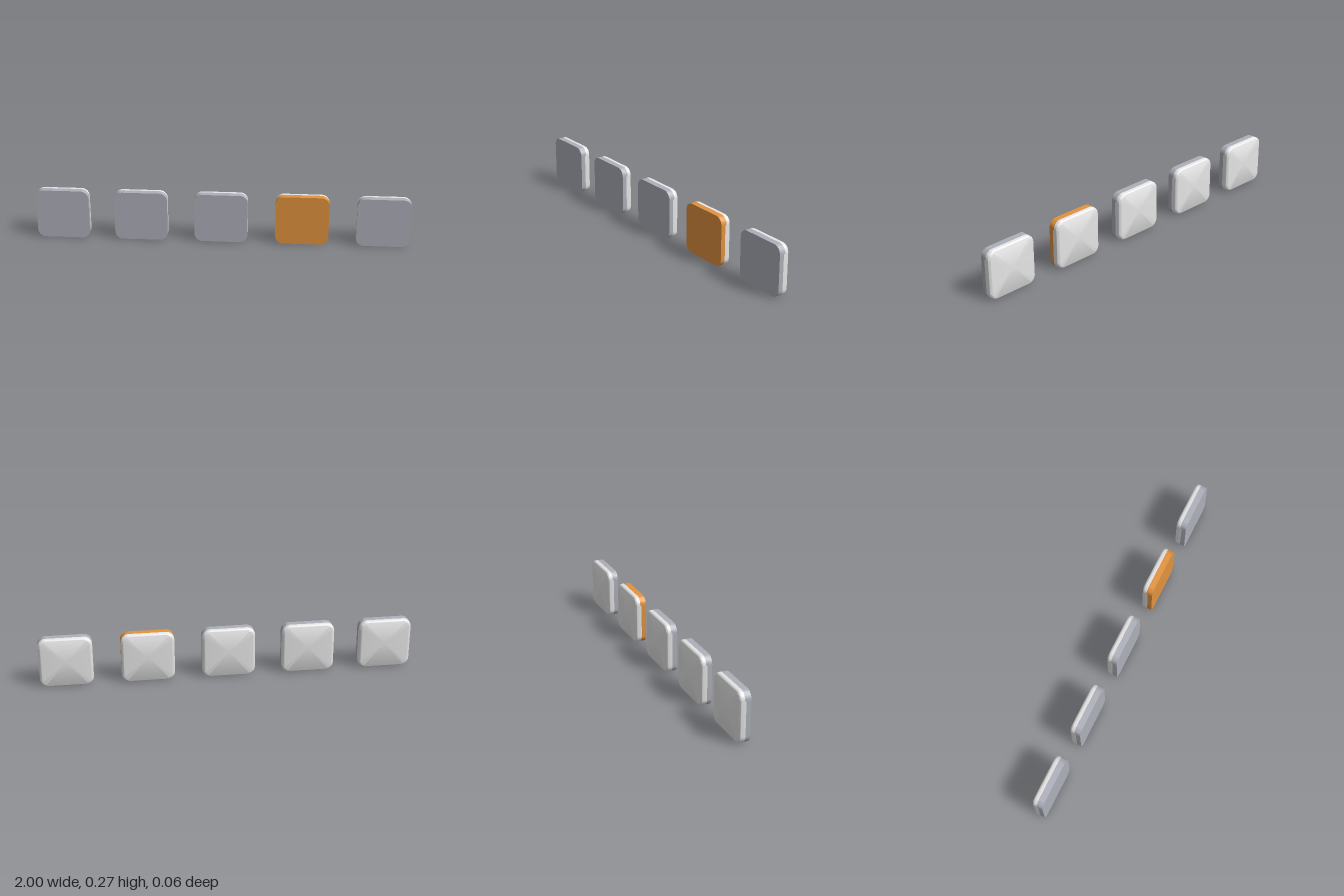
import * as THREE from 'three';
import { toCreasedNormals } from 'three/addons/utils/BufferGeometryUtils.js';

const W = 0.284, H = 0.272, R = 0.043, FRONT = 0.03, BACK = -0.03, ROUND = 0.015;

// Seam between the two layers sits further back along the top edge
const seam = (y) => (y > H / 2 - R - 0.001 ? -0.003 : 0.005);

// Rounded-rectangle ring, counter-clockwise seen from the front
function ring(inset, depth) {
  const pts = [], r = R - inset, steps = 8;
  const add = (x, y, seamY = y) => pts.push(new THREE.Vector3(x, y, depth === 'seam' ? seam(seamY) : depth));
  const side = W / 2 - inset, step = H / 2 - R - 0.004;
  for (let c = 0; c < 4; c++) {
    const cx = (c === 0 || c === 3 ? 1 : -1) * (W / 2 - R);
    const cy = (c < 2 ? 1 : -1) * (H / 2 - R);
    if (c === 0) add(side, step);
    for (let i = 0; i <= steps; i++) {
      const a = (c + i / steps) * Math.PI / 2;
      add(cx + r * Math.cos(a), cy + r * Math.sin(a));
    }
    if (c === 1) add(-side, step);
  }
  return pts;
}

// Skin a list of rings from front to back and close both ends
function loft(rings) {
  const pos = [], n = rings[0].length;
  const tri = (...p) => p.forEach((v) => pos.push(v.x, v.y, v.z));
  const middle = (r) => r.reduce((s, p) => s.add(p), new THREE.Vector3()).divideScalar(n);
  const first = rings[0], last = rings[rings.length - 1];
  const c0 = middle(first), c1 = middle(last);
  for (let i = 0; i < n; i++) {
    const j = (i + 1) % n;
    tri(c0, first[i], first[j]);
    tri(c1, last[j], last[i]);
    for (let k = 0; k < rings.length - 1; k++) {
      const a = rings[k], b = rings[k + 1];
      tri(a[i], b[i], a[j]);
      tri(a[j], b[i], b[j]);
    }
  }
  const g = new THREE.BufferGeometry();
  g.setAttribute('position', new THREE.Float32BufferAttribute(pos, 3));
  return toCreasedNormals(g, 0.7);
}

export function createModel() {
  const model = new THREE.Group();
  model.name = 'tileRow';
  const material = (name, color) => {
    const m = new THREE.MeshStandardMaterial({ color });
    m.name = name;
    return m;
  };
  const grey = material('grey', 0xaeb0ba);
  const orange = material('orange', 0xe2933e);
  const white = material('white', 0xe8e8e8);

  // Coloured front layer with crisp edges
  const faceGeometry = loft([ring(0, FRONT), ring(0, 'seam')]);

  // White backing with rounded rear edges
  const backRings = [ring(0, 'seam')];
  for (let i = 0; i <= 6; i++) {
    const a = (i / 6) * Math.PI / 2;
    backRings.push(ring(ROUND * (1 - Math.cos(a)), BACK + ROUND * (1 - Math.sin(a))));
  }
  const backGeometry = loft(backRings);

  // Five tiles in a row, one of them orange
  [-0.858, -0.436, -0.006, 0.426, 0.858].forEach((x, i) => {
    const tile = new THREE.Group();
    tile.name = `tile${i + 1}`;
    const face = new THREE.Mesh(faceGeometry, i === 3 ? orange : grey);
    face.name = 'frontLayer';
    const back = new THREE.Mesh(backGeometry, white);
    back.name = 'backLayer';
    tile.add(face, back);
    tile.position.set(x, H / 2, 0);
    model.add(tile);
  });
  return model;
}
